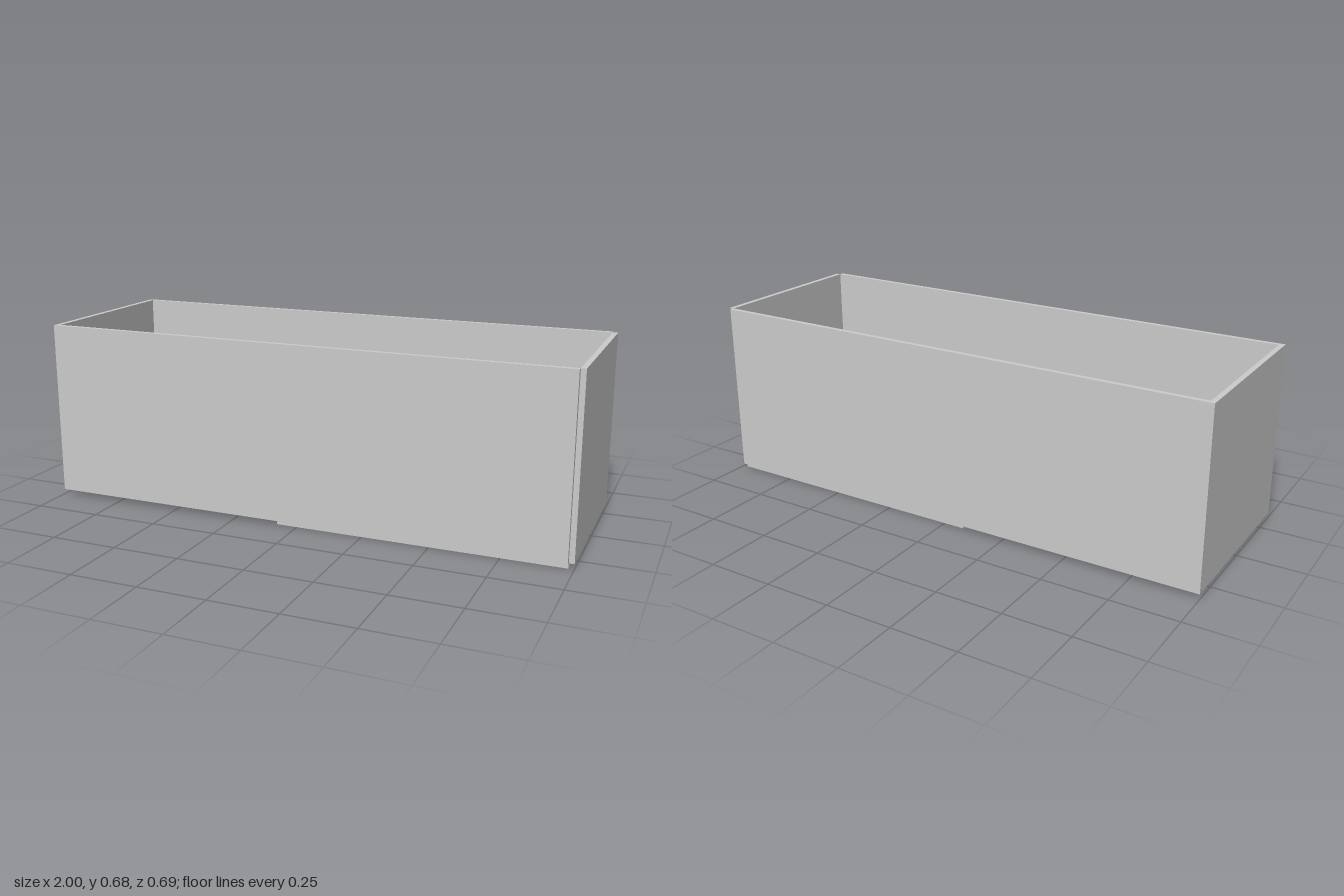
import * as THREE from 'three';

const T = 0.019; // board thickness

export function createModel() {
  const group = new THREE.Group();
  const material = new THREE.MeshStandardMaterial({ color: 0xcccccc, flatShading: true });

  // a flat board given by its min and max corners
  function board(name, [x0, y0, z0], [x1, y1, z1]) {
    const mesh = new THREE.Mesh(new THREE.BoxGeometry(x1 - x0, y1 - y0, z1 - z0), material);
    mesh.position.set((x0 + x1) / 2, (y0 + y1) / 2, (z0 + z1) / 2);
    mesh.name = name;
    group.add(mesh);
    return mesh;
  }

  const top = 0.675, inner = 0.327, outer = 0.345, end = 0.981;

  // long side walls
  board('frontWall', [-1, T, inner], [end, top, outer]);
  board('backWall', [-1, T, -outer], [end, top, -inner]);

  // end walls, the left one set outside the long walls
  board('rightEndWall', [-1, T, -inner], [-end, top, inner]);
  board('leftEndWall', [end, T, -inner], [1, top, inner]);

  // overlapping bottom flaps
  board('outerBottomFlap', [-0.08, 0, -inner], [end, T, inner]);
  board('innerBottomFlap', [-end, 2 * T, -inner], [0.08, 3 * T, inner]);

  // tongue rising from the floor towards the right end
  const low = new THREE.Vector2(-0.1, 0.045), high = new THREE.Vector2(-0.81, 0.37);
  const length = low.distanceTo(high);
  const tongue = board('tongueFlap', [-length / 2, -T / 2, -0.21], [length / 2, T / 2, 0.21]);
  tongue.position.set((low.x + high.x) / 2, (low.y + high.y) / 2, 0);
  tongue.rotation.z = Math.atan2(low.y - high.y, low.x - high.x);

  return group;
}
